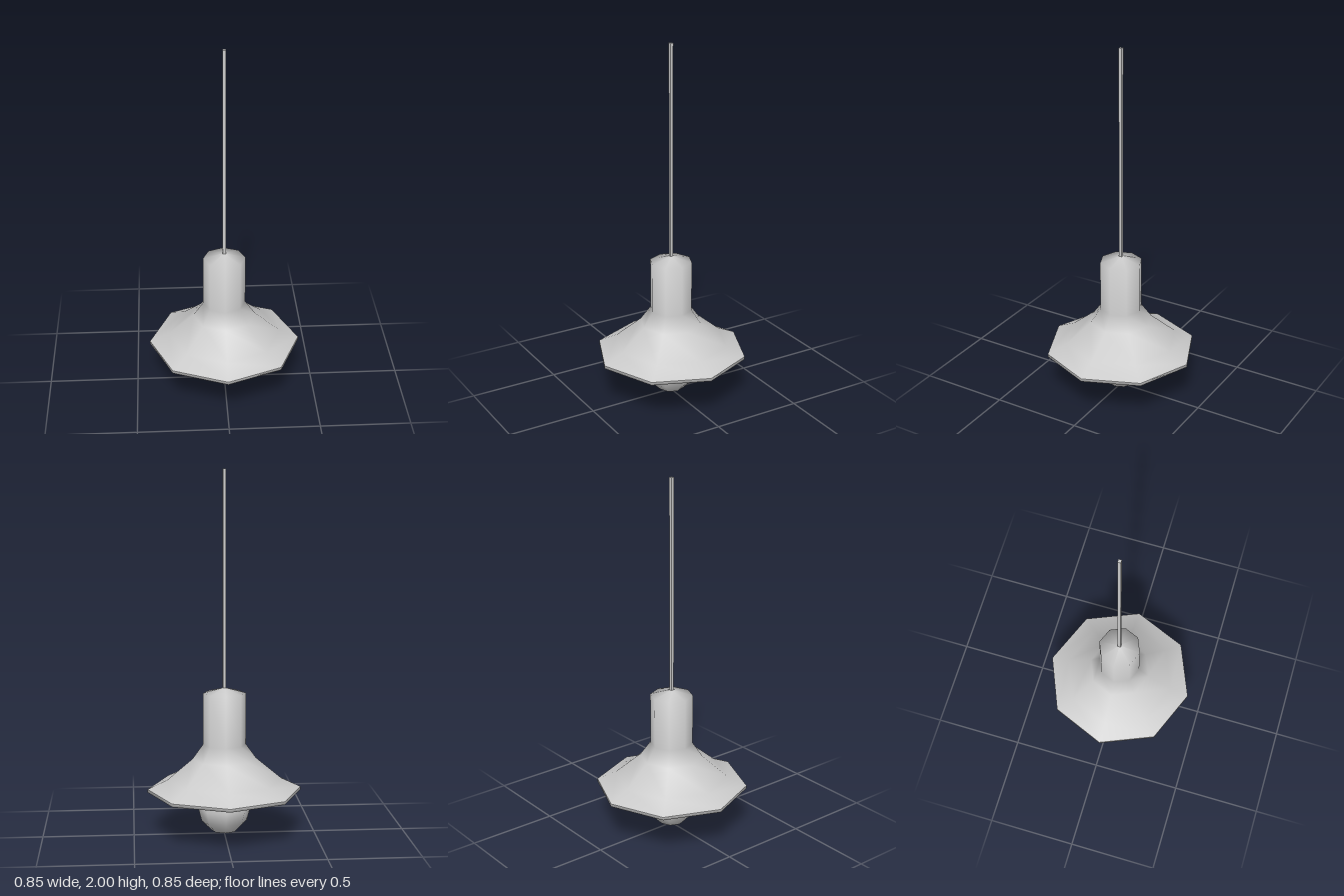
import * as THREE from 'three';

const SIDES = 8;

export function createModel() {
  const group = new THREE.Group();
  const material = new THREE.MeshStandardMaterial({ color: 0xcccccc, side: THREE.DoubleSide });

  const add = (name, geometry) => {
    const mesh = new THREE.Mesh(geometry, material);
    mesh.name = name;
    group.add(mesh);
    return mesh;
  };
  // Eight-sided turned part, profile listed as [radius, height]
  const turned = (name, profile) =>
    add(name, new THREE.LatheGeometry(profile.map(([r, y]) => new THREE.Vector2(r, y)), SIDES));

  // Shade: flared skirt, straight collar and shallow pointed cap
  turned('shade', [
    [0.423, 0.257], [0.315, 0.308], [0.175, 0.425], [0.118, 0.505], [0.118, 0.79], [0, 0.822],
  ]);
  turned('shadeRim', [[0.405, 0.243], [0.423, 0.24], [0.423, 0.257]]);
  // Shallow recessed underside
  turned('shadeUnderside', [[0, 0.345], [0.07, 0.34], [0.405, 0.243]]);

  // Bulb: round globe running into a straight neck
  const R = 0.145, centre = 0.145;
  const globe = [];
  for (let i = 0; i <= 5; i++) {
    const a = -Math.PI / 2 + (i * Math.PI) / 6;
    globe.push([Math.max(0, R * Math.cos(a)), centre + R * Math.sin(a)]);
  }
  turned('bulb', [...globe, [0.07, 0.345]]);

  // Square hanging cord
  add('cord', new THREE.BoxGeometry(0.017, 1.2, 0.017)).position.y = 1.4;

  return group;
}
